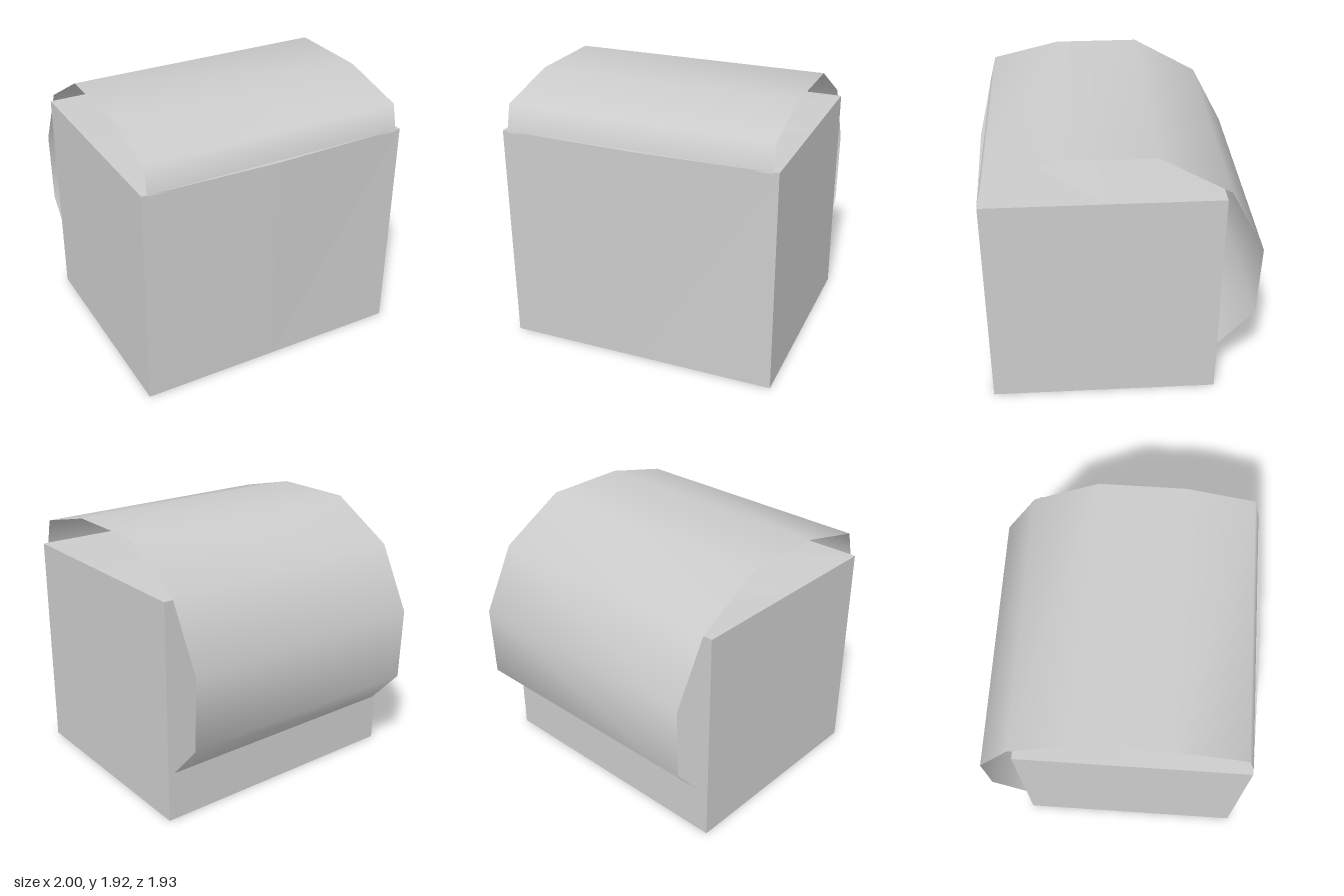
import * as THREE from 'three';

const grey = (options = {}) => new THREE.MeshStandardMaterial({ color: 0xcccccc, ...options });

// Smooth surface through rows of points; each row runs from -x to +x.
function skin(rows, inward) {
  const cols = rows[0].length;
  const index = [];
  for (let i = 0; i < rows.length - 1; i++) {
    for (let j = 0; j < cols - 1; j++) {
      const a = i * cols + j, b = a + 1, c = a + cols, d = c + 1;
      if (inward) index.push(a, c, b, b, c, d);
      else index.push(a, b, c, b, d, c);
    }
  }
  const geometry = new THREE.BufferGeometry();
  geometry.setAttribute('position', new THREE.Float32BufferAttribute(rows.flat(2), 3));
  geometry.setIndex(index);
  geometry.computeVertexNormals();
  return geometry;
}

// Block with a slightly swollen top and front upper edge.
function createBody() {
  const height = 1.62, depth = 1.62, midZ = 0.125;
  const geometry = new THREE.BoxGeometry(2, height, depth, 2, 1, 2);
  geometry.translate(0, height / 2, midZ);
  const p = geometry.attributes.position;
  for (let i = 0; i < p.count; i++) {
    if (Math.abs(p.getX(i)) > 0.01 || p.getY(i) < height - 0.01) continue;
    if (Math.abs(p.getZ(i) - midZ) < 0.01) p.setY(i, 1.658);
    else if (p.getZ(i) > midZ) p.setZ(i, 0.963);
  }
  const mesh = new THREE.Mesh(geometry, grey({ flatShading: true }));
  mesh.name = 'body';
  return mesh;
}

// Curved cover: straight outer skin, underside sagging inward at mid width.
function createCover() {
  const half = 0.96;
  // [z, y] from the front edge, over the top, to the rear lower edge
  const outer = [[0.94, 1.61], [0.89, 1.804], [0.39, 1.925], [-0.235, 1.925],
    [-0.72, 1.65], [-0.963, 1.185], [-0.947, 0.65], [-0.70, 0.375]];
  const inner = [[0.91, 1.60], [0.855, 1.775], [0.385, 1.888], [-0.23, 1.888],
    [-0.70, 1.63], [-0.927, 1.17], [-0.92, 0.66], [-0.70, 0.375]];
  const outerRows = outer.map(([z, y]) => [[-half, y, z], [half, y, z]]);
  const innerRows = inner.map(([z, y], i) => {
    const [ez, ey] = outer[i];
    return [[-half, ey, ez], [0, y, z], [half, ey, ez]];
  });

  const group = new THREE.Group();
  group.name = 'cover';
  const top = new THREE.Mesh(skin(outerRows, false), grey());
  top.name = 'coverOuter';
  const underside = new THREE.Mesh(skin(innerRows, true), grey());
  underside.name = 'coverUnderside';
  group.add(top, underside);
  return group;
}

export function createModel() {
  const model = new THREE.Group();
  model.name = 'coveredBox';
  model.add(createBody(), createCover());
  return model;
}
